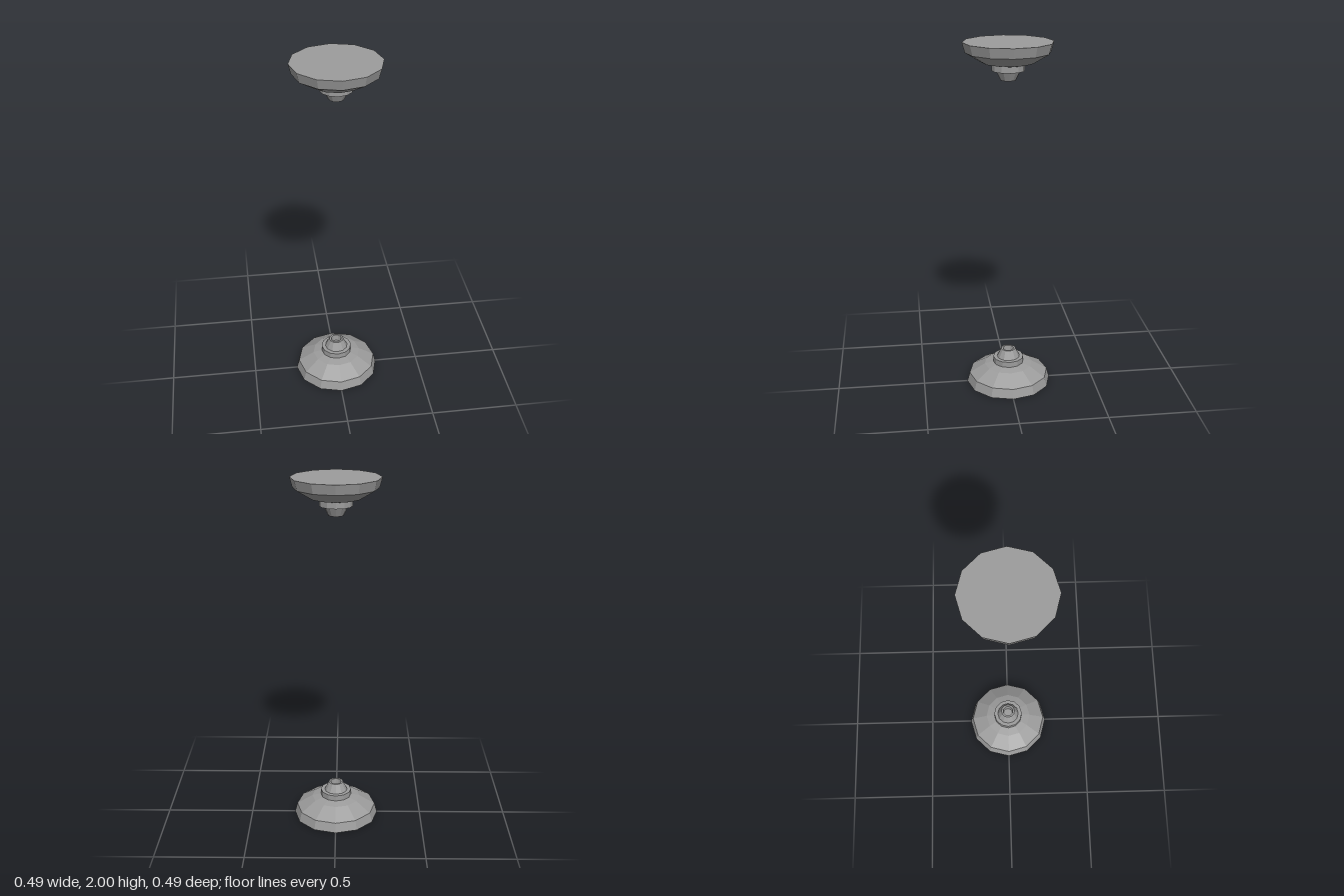
import * as THREE from 'three';

const SIDES = 12;
const material = new THREE.MeshStandardMaterial({ color: 0x9c9c9c, flatShading: true });

// Faceted turned part from [radius, height] pairs, listed bottom to top
function turned(name, profile) {
  const points = profile.map(([r, y]) => new THREE.Vector2(r, y));
  const mesh = new THREE.Mesh(new THREE.LatheGeometry(points, SIDES), material);
  mesh.name = name;
  return mesh;
}

// One emitter, standing on its flat face with the nozzle pointing up
function createEmitter(name) {
  const emitter = new THREE.Group();
  emitter.name = name;
  emitter.add(
    // Closed flat underside, slanted rim and shallow dome
    turned('base', [[0, 0], [0.245, 0], [0.23, 0.055], [0.14, 0.109], [0.08, 0.122], [0, 0.122]]),
    // Raised ring around the nozzle
    turned('collar', [[0.089, 0.115], [0.089, 0.153], [0.06, 0.153]]),
    // Tapered nozzle with a recessed mouth
    turned('nozzle', [[0.068, 0.15], [0.042, 0.203], [0.031, 0.203], [0.028, 0.165], [0, 0.165]])
  );
  return emitter;
}

export function createModel() {
  const model = new THREE.Group();
  model.name = 'emitterPair';
  const lower = createEmitter('lowerEmitter');
  // The upper emitter hangs upside down, facing the lower one
  const upper = createEmitter('upperEmitter');
  upper.rotation.x = Math.PI;
  upper.position.y = 2;
  model.add(lower, upper);
  return model;
}
